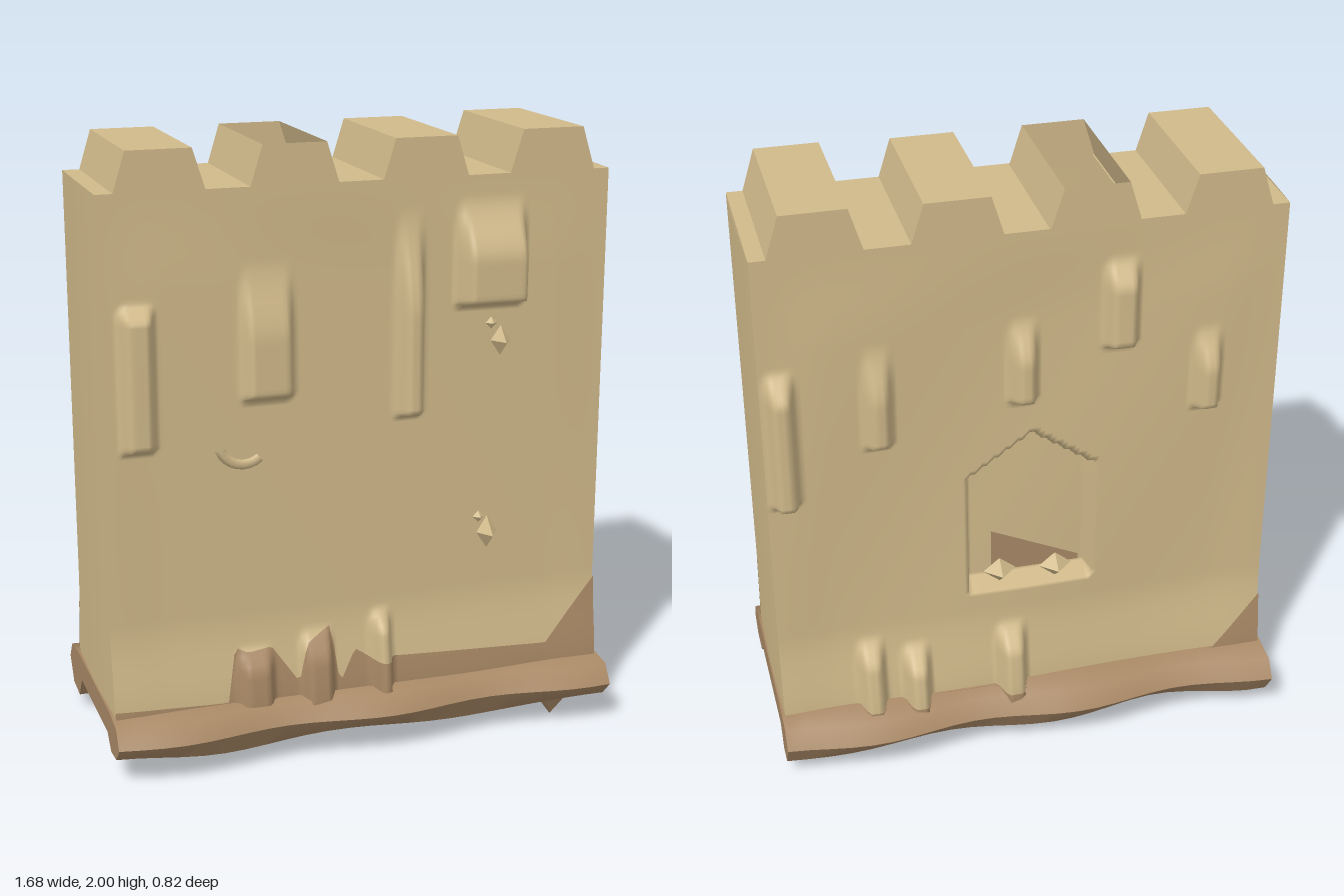
import * as THREE from 'three';
import { toCreasedNormals } from 'three/addons/utils/BufferGeometryUtils.js';

const stone = new THREE.MeshStandardMaterial({ color: 0xd0b98a, side: THREE.DoubleSide });
stone.name = 'sandstone';
const earth = new THREE.MeshStandardMaterial({ color: 0xa88865, side: THREE.DoubleSide });
earth.name = 'brown earth';

const HALF = 0.83, FOOT = 0.15, TOP = 1.865;
const clamp = (t) => Math.min(1, Math.max(0, t));
const smooth = (t) => { t = clamp(t); return t * t * (3 - 2 * t); };

// Raised stones: x0, x1, y0, y1, depth, softness of the top edge
const frontStones = [
  [-0.78, -0.66, 1.06, 1.53, 0.06, 0.05], [-0.40, -0.22, 1.20, 1.64, 0.05, 0.25],
  [0.11, 0.21, 1.10, 1.78, 0.07, 0.35], [0.31, 0.55, 1.45, 1.80, 0.08, 0.2],
  [-0.43, -0.30, 0.1, 0.39, 0.04, 0.08], [-0.22, -0.10, 0.1, 0.43, 0.05, 0.1],
  [0.02, 0.10, 0.1, 0.47, 0.06, 0.08],
];
const backStones = [
  [0.72, 0.82, 1.01, 1.50, 0.07, 0.1], [0.42, 0.52, 1.18, 1.55, 0.05, 0.2],
  [-0.04, 0.06, 1.28, 1.58, 0.06, 0.15], [-0.36, -0.24, 1.44, 1.75, 0.06, 0.1],
  [-0.64, -0.54, 1.18, 1.48, 0.06, 0.15], [0.48, 0.58, 0.1, 0.46, 0.06, 0.1],
  [0.33, 0.43, 0.1, 0.42, 0.07, 0.1], [0.0, 0.11, 0.1, 0.45, 0.07, 0.1],
];

// Distance of the wall face from the middle plane
function relief(x, y, back) {
  let d = (back ? 0.24 : 0.26) + 0.035 * smooth((0.5 - y) / 0.33);
  d += 0.006 * Math.sin(x * 5 + y * 3) * smooth((TOP - y) / 0.3) * smooth((HALF - Math.abs(x)) / 0.2);
  let lift = 0;
  for (const [x0, x1, y0, y1, depth, soft] of back ? backStones : frontStones) {
    const across = smooth((x - x0) / 0.03) * smooth((x1 - x) / 0.03);
    const up = clamp((y - y0) / 0.02) * smooth((y1 - y) / soft);
    lift = Math.max(lift, depth * across * up);
  }
  // Peaked niche in the back
  if (back && x > -0.22 && x < 0.18 && y > 0.58 && y < 1.16 - 0.7 * Math.abs(x + 0.02)) lift = -0.08;
  return d + lift;
}

// Surface sheet from a rule (u, v) -> [x, y, z]
function sheet(nu, nv, rule) {
  const pos = [], index = [];
  for (let j = 0; j <= nv; j++) for (let i = 0; i <= nu; i++) pos.push(...rule(i / nu, j / nv));
  for (let j = 0; j < nv; j++) for (let i = 0; i < nu; i++) {
    const a = j * (nu + 1) + i, b = a + 1, c = a + nu + 1, d = c + 1;
    index.push(a, b, d, a, d, c);
  }
  const g = new THREE.BufferGeometry();
  g.setAttribute('position', new THREE.Float32BufferAttribute(pos, 3));
  g.setIndex(index);
  g.computeVertexNormals();
  return g;
}

// Height of a broken line at x
function lineAt(points, x) {
  for (let i = 1; i < points.length; i++) {
    const [ax, ay] = points[i - 1], [bx, by] = points[i];
    if (x <= bx) return ay + (by - ay) * clamp((x - ax) / (bx - ax));
  }
  return points[points.length - 1][1];
}

export function createModel() {
  const model = new THREE.Group();
  const add = (name, geometry, material, x = 0, y = 0, z = 0) => {
    const mesh = new THREE.Mesh(geometry, material);
    mesh.name = name;
    mesh.position.set(x, y, z);
    model.add(mesh);
    return mesh;
  };
  const height = (v) => FOOT + (TOP - FOOT) * v;

  // Wall faces and ends
  add('frontWall', sheet(130, 130, (u, v) => {
    const x = HALF * (2 * u - 1), y = height(v);
    return [x, y, relief(x, y, false)];
  }), stone);
  add('backWall', sheet(130, 130, (u, v) => {
    const x = HALF * (1 - 2 * u), y = height(v);
    return [x, y, -relief(x, y, true)];
  }), stone);
  for (const s of [1, -1]) {
    add(s > 0 ? 'leftEnd' : 'rightEnd', sheet(8, 24, (u, v) => {
      const y = height(v), t = s > 0 ? u : 1 - u;
      const front = relief(HALF, y, false), back = -relief(HALF, y, true);
      return [s * (HALF + 0.006 * Math.sin(Math.PI * u)), y, front + (back - front) * t];
    }), stone);
  }

  // Walkway, left open under the hollow merlon
  for (const [x0, x1] of [[-HALF, -0.35], [-0.07, HALF]]) {
    const g = new THREE.PlaneGeometry(x1 - x0, 0.5).rotateX(-Math.PI / 2);
    add('walkway', g, stone, (x0 + x1) / 2, TOP, 0.01);
  }

  // Tapered merlons, the second one hollow
  [-0.635, -0.215, 0.21, 0.635].forEach((x, i) => {
    const g = new THREE.BoxGeometry(0.29, 0.14, 0.5);
    const p = g.attributes.position;
    for (let k = 0; k < p.count; k++) if (p.getY(k) > 0) p.setX(k, p.getX(k) * 0.7);
    if (i === 1) {
      const index = Array.from(g.index.array);
      index.splice(12, 12);
      g.setIndex(index);
      g.clearGroups();
    }
    g.computeVertexNormals();
    add('merlon', g, stone, x, (i === 3 ? 1.93 : 1.92), 0.01);
  });

  // Wavy earth footing with a hollow underside
  const half = [[0.25, 0.215], [0.36, 0.2], [0.40, 0.14], [0.35, 0.075], [0.26, 0.07], [0.21, 0.13]];
  const outline = [...half, ...half.slice().reverse().map(([x, y]) => [-x, y])];
  const footing = new THREE.ExtrudeGeometry(
    new THREE.Shape(outline.map(([x, y]) => new THREE.Vector2(x, y))),
    { depth: 1.68, steps: 24, bevelEnabled: false });
  footing.translate(0, 0, -0.84).rotateY(Math.PI / 2);
  const fp = footing.attributes.position;
  for (let k = 0; k < fp.count; k++) {
    const x = fp.getX(k), y = fp.getY(k), z = fp.getZ(k);
    if (Math.abs(z) > 0.3) fp.setZ(k, z * (0.98 + 0.05 * Math.sin(x * 9 + (z > 0 ? 1 : 3))));
    if (y < 0.1) fp.setY(k, y + 0.015 * Math.sin(x * 8 + z * 5));
  }
  add('footing', toCreasedNormals(footing, 0.9), earth);
  const spur = new THREE.ConeGeometry(0.08, 0.11, 5).rotateX(Math.PI);
  add('footingSpur', spur, earth, 0.68, 0.055, 0.28);

  // Jagged earth facing along the foot of the walls
  const frontLine = [
    [-0.83, 0.23], [-0.46, 0.21], [-0.43, 0.39], [-0.39, 0.37], [-0.31, 0.38], [-0.22, 0.25],
    [-0.2, 0.38], [-0.11, 0.43], [-0.085, 0.23], [-0.03, 0.34], [0.03, 0.3], [0.1, 0.3],
    [0.65, 0.27], [0.83, 0.48],
  ];
  const backLine = [[-0.83, 0.4], [-0.66, 0.21], [0.83, 0.21]];
  for (const back of [false, true]) {
    const s = back ? -1 : 1;
    add(back ? 'backEarth' : 'frontEarth', sheet(130, 10, (u, v) => {
      const x = s * HALF * (2 * u - 1);
      const y = 0.17 + (lineAt(back ? backLine : frontLine, x) - 0.17) * v;
      return [x, y, s * (relief(x, y, back) + 0.008)];
    }), earth);
  }

  // Stone chips standing out from the front
  for (const [x, y] of [[0.47, 1.33], [0.44, 0.68]]) {
    const g = new THREE.ConeGeometry(0.05, 0.06, 4).rotateX(Math.PI / 2).scale(0.8, 1.2, 1);
    add('chip', toCreasedNormals(g, 0.3), stone, x, y, 0.28);
    add('chipTip', new THREE.OctahedronGeometry(0.02), stone, x - 0.035, y + 0.06, 0.265);
  }
  const curl = add('curvedChip', new THREE.TorusGeometry(0.08, 0.018, 5, 8, 1.9), stone, -0.39, 1.08, 0.265);
  curl.rotation.z = 3.5;

  // Broken stones and earth patch in the niche
  for (const [x, y] of [[0.08, 0.63], [-0.11, 0.62]]) {
    add('nicheStone', new THREE.OctahedronGeometry(0.05).scale(1.1, 0.9, 1), stone, x, y, -0.21);
  }
  const patch = new THREE.Shape([[0.1, 0.6], [0.1, 0.76], [-0.2, 0.62], [-0.2, 0.6]]
    .map(([x, y]) => new THREE.Vector2(x, y)));
  add('nichePatch', new THREE.ShapeGeometry(patch), earth, 0, 0, -0.172);

  return model;
}
